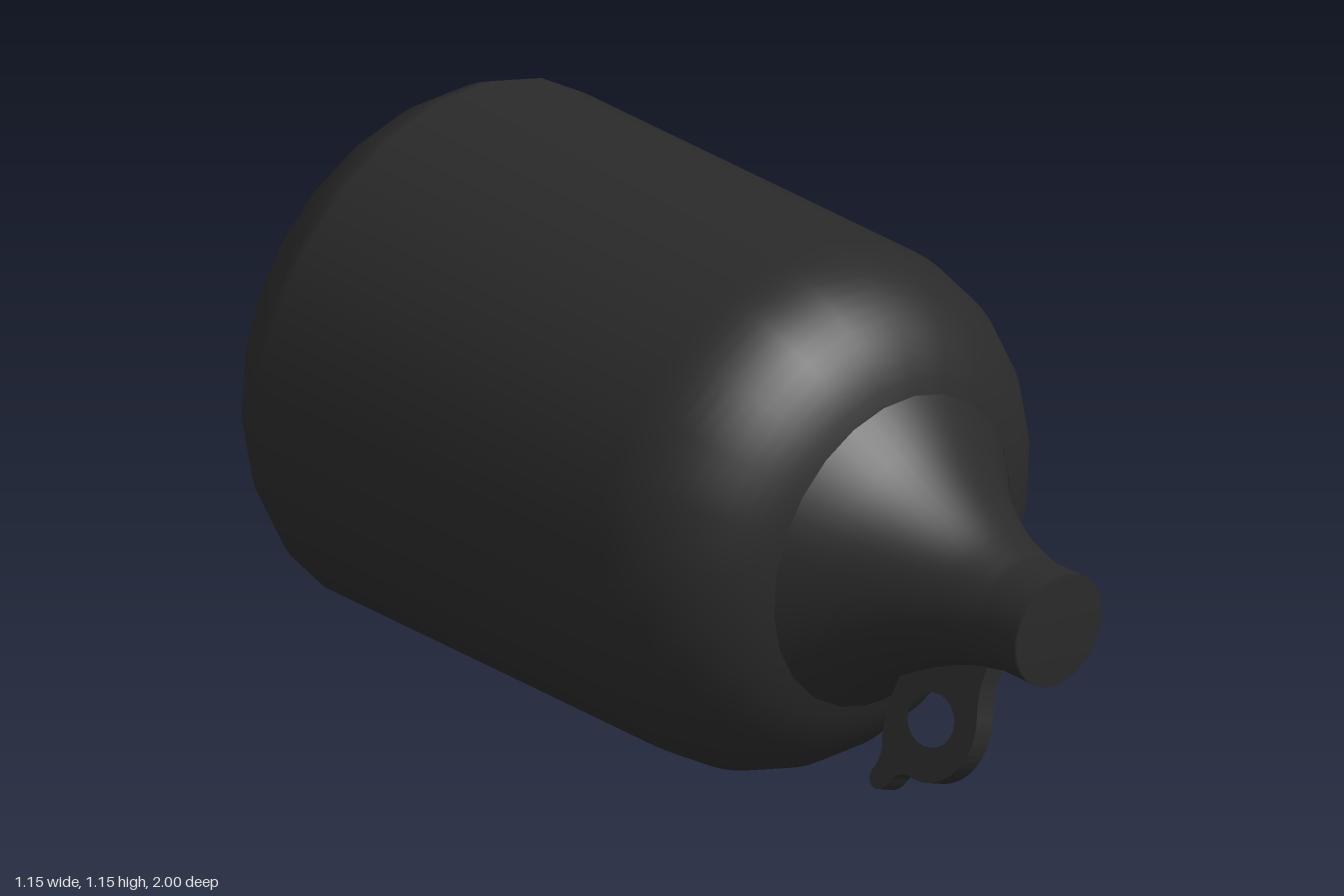
import * as THREE from 'three';

const AXIS_Y = 0.58;

// Points [radius, z] along a circular arc
function arc(cr, cz, rad, a0, a1, n) {
  return Array.from({ length: n + 1 }, (_, i) => {
    const a = a0 + (a1 - a0) * i / n;
    return new THREE.Vector2(cr + rad * Math.cos(a), cz + rad * Math.sin(a));
  });
}

export function createModel() {
  const group = new THREE.Group();
  const dark = new THREE.MeshStandardMaterial({ color: 0x2a2a2a });

  function add(name, geometry) {
    const mesh = new THREE.Mesh(geometry, dark);
    mesh.name = name;
    mesh.position.y = AXIS_Y;
    group.add(mesh);
  }
  // Revolve a back-to-front profile around the z axis
  function revolve(profile, sides) {
    return new THREE.LatheGeometry(profile, sides, 0.07).rotateX(Math.PI / 2);
  }

  // Body: rounded base, straight wall, rounded shoulder
  const body = [
    new THREE.Vector2(0, -1),
    ...arc(0.245, -0.645, 0.355, -Math.PI / 2, -0.362, 12),
    ...arc(0.254, 0.2, 0.323, 0, 1.287, 12),
  ];
  add('jugBody', revolve(body, 24));

  // Neck: concave flare from the shoulder up to a straight, closed mouth
  const flare = new THREE.SplineCurve([
    [0.348, 0.502], [0.262, 0.6], [0.197, 0.7], [0.15, 0.8], [0.124, 0.9],
  ].map(([r, z]) => new THREE.Vector2(r, z)));
  const neck = [
    ...flare.getPoints(14),
    new THREE.Vector2(0.124, 0.99),
    new THREE.Vector2(0.124, 1),
    new THREE.Vector2(0, 1),
  ];
  add('neck', revolve(neck, 48));

  // Finger ring: flat loop with a small tail, drawn as (z, -distance from axis)
  const ring = new THREE.Shape();
  ring.moveTo(0.865, -0.08);
  ring.lineTo(0.862, -0.17);
  ring.quadraticCurveTo(0.864, -0.2, 0.875, -0.235);
  ring.quadraticCurveTo(0.887, -0.265, 0.884, -0.3);
  ring.bezierCurveTo(0.878, -0.36, 0.83, -0.412, 0.765, -0.413);
  ring.quadraticCurveTo(0.72, -0.405, 0.705, -0.435);
  ring.quadraticCurveTo(0.69, -0.468, 0.665, -0.466);
  ring.quadraticCurveTo(0.645, -0.462, 0.646, -0.435);
  ring.quadraticCurveTo(0.665, -0.4, 0.652, -0.37);
  ring.quadraticCurveTo(0.632, -0.31, 0.645, -0.24);
  ring.lineTo(0.65, -0.08);
  const hole = new THREE.Path();
  hole.absellipse(0.76, -0.283, 0.065, 0.057, 0, Math.PI * 2, true);
  ring.holes.push(hole);
  const loop = new THREE.ExtrudeGeometry(ring, { depth: 0.05, bevelEnabled: false, curveSegments: 10 });
  loop.translate(0, 0, -0.025).rotateY(-Math.PI / 2).rotateZ(-0.41);
  add('fingerRing', loop);

  return group;
}
